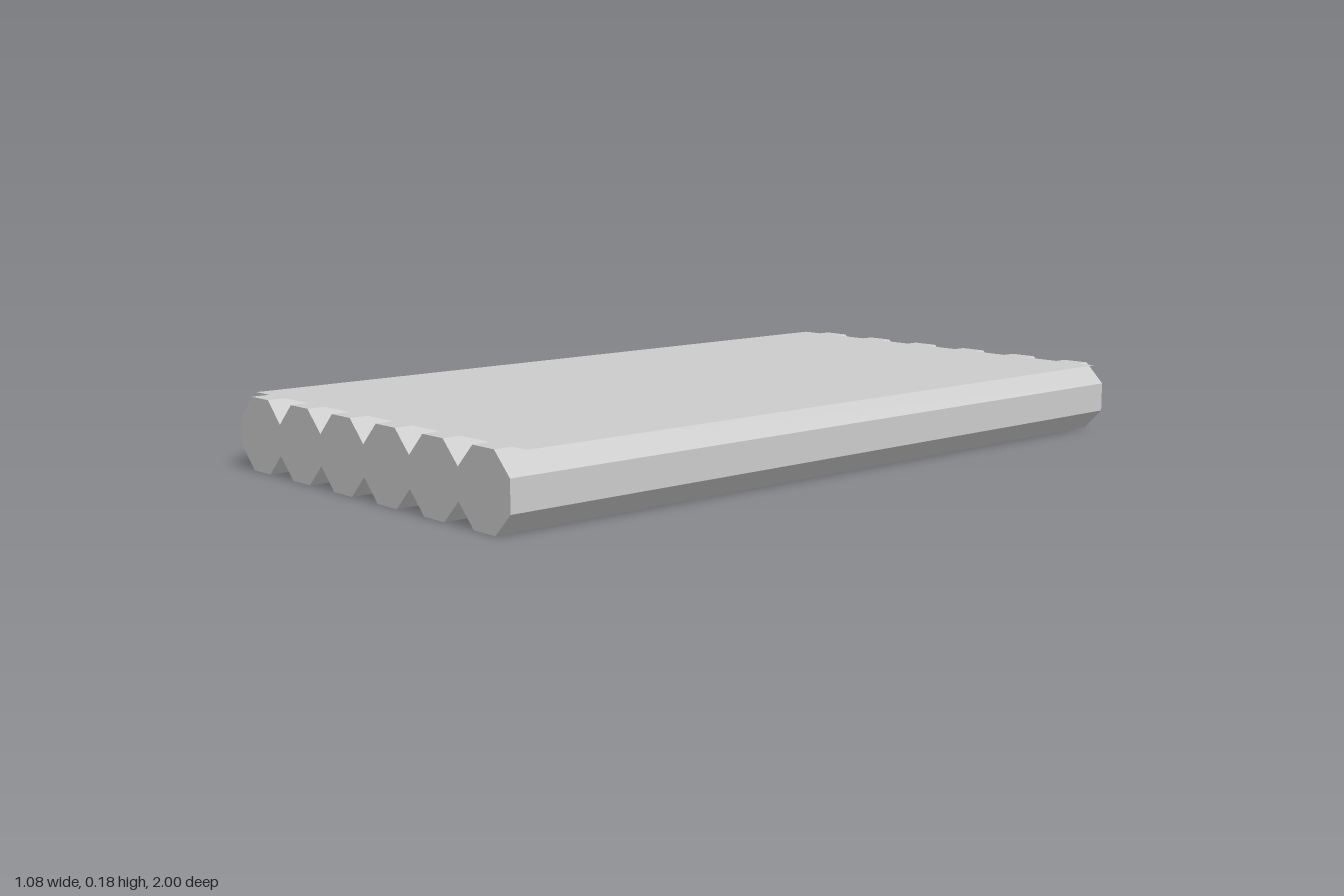
import * as THREE from 'three';

export function createModel() {
  const group = new THREE.Group();
  const logCount = 6;
  const logWidth = 0.1795; // across the flats
  const logLength = 2;

  // Octagonal logs lying side by side along z, flat side up
  const logMaterial = new THREE.MeshStandardMaterial({ color: 0xcccccc, flatShading: true });
  const radius = logWidth / 2 / Math.cos(Math.PI / 8);
  const logGeometry = new THREE.CylinderGeometry(radius, radius, logLength, 8, 1, false, Math.PI / 8);
  logGeometry.rotateX(Math.PI / 2);
  for (let i = 0; i < logCount; i++) {
    const log = new THREE.Mesh(logGeometry, logMaterial);
    log.name = `log${i + 1}`;
    log.position.set((i - (logCount - 1) / 2) * logWidth, logWidth / 2, 0);
    group.add(log);
  }

  // Thin sheet laid over the logs, leaving their ends bare
  const sheetGeometry = new THREE.PlaneGeometry(logCount * logWidth + 0.004, 1.915);
  sheetGeometry.rotateX(-Math.PI / 2);
  const sheet = new THREE.Mesh(
    sheetGeometry,
    new THREE.MeshStandardMaterial({ color: 0xcccccc, side: THREE.DoubleSide })
  );
  sheet.name = 'deckSheet';
  sheet.position.y = logWidth + 0.001;
  group.add(sheet);

  return group;
}
